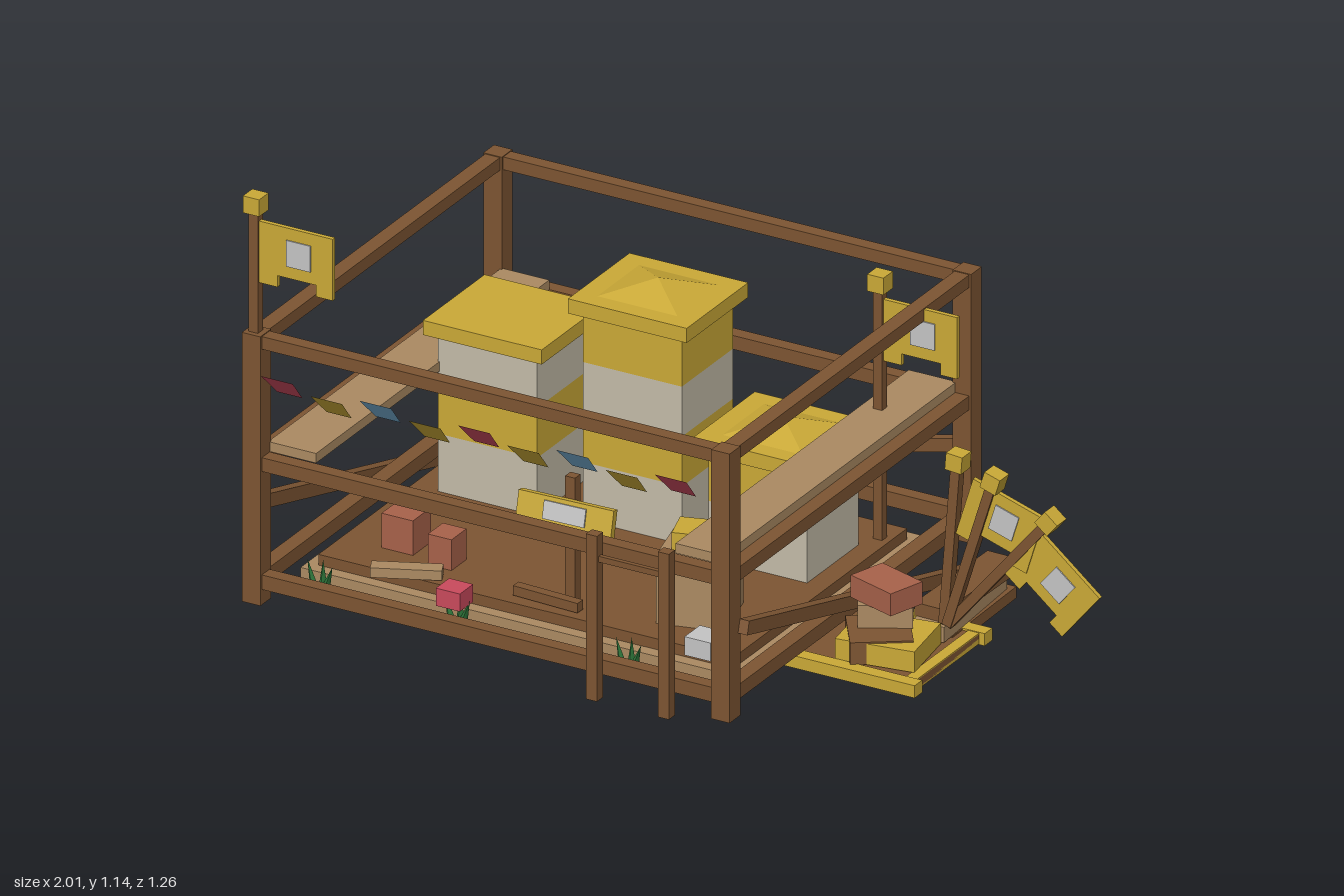
import * as THREE from 'three';

const mat = (name, color) => Object.assign(new THREE.MeshStandardMaterial({ color }), { name });

export function createModel() {
  const root = new THREE.Group();
  root.name = 'hiveStall';
  const M = {
    wood: mat('brown wood', 0x7d5532),
    plank: mat('light wood', 0xab8a62),
    yellow: mat('honey yellow', 0xcaa937),
    hive: mat('pale hive', 0xc3bba8),
    grey: mat('light grey', 0xc4c4c4),
    brick: mat('brick', 0xa8624a),
    red: mat('red', 0xc94a5c),
    blue: mat('blue', 0x74acd0),
    green: mat('green', 0x2f7a3c),
  };
  M.red.side = M.blue.side = M.yellow.side = THREE.DoubleSide;

  const add = (name, geo, m, parent = root) => {
    const mesh = new THREE.Mesh(geo, m);
    mesh.name = name;
    parent.add(mesh);
    return mesh;
  };
  // box given by its min and max on each axis
  const span = (name, m, x0, x1, y0, y1, z0, z1, parent) => {
    const b = add(name, new THREE.BoxGeometry(x1 - x0, y1 - y0, z1 - z0), m, parent);
    b.position.set((x0 + x1) / 2, (y0 + y1) / 2, (z0 + z1) / 2);
    return b;
  };
  // box given by centre, size and turn about y
  const box = (name, m, pos, size, turn = 0, parent) => {
    const b = add(name, new THREE.BoxGeometry(...size), m, parent);
    b.position.set(...pos);
    b.rotation.y = turn;
    return b;
  };
  const beam = (name, m, from, to, w, d) => {
    const a = new THREE.Vector3(...from), v = new THREE.Vector3(...to).sub(a);
    const b = add(name, new THREE.BoxGeometry(w, v.length(), d), m);
    b.position.copy(a).addScaledVector(v, 0.5);
    b.quaternion.setFromUnitVectors(new THREE.Vector3(0, 1, 0), v.normalize());
    return b;
  };

  // corner posts and rails
  const X0 = -0.955, X1 = 0.318, Z0 = -0.585, Z1 = 0.545;
  for (const x of [X0, X1]) for (const z of [Z0, Z1])
    span('cornerPost', M.wood, x - 0.025, x + 0.025, 0.095, 0.795, z - 0.025, z + 0.025);
  for (const [y0, y1] of [[0.135, 0.173], [0.442, 0.478], [0.76, 0.793]]) {
    for (const z of [Z0, Z1]) span('longRail', M.wood, X0, X1, y0, y1, z - 0.018, z + 0.018);
    for (const x of [X0, X1]) span('sideRail', M.wood, x - 0.02, x + 0.02, y0, y1, Z0, Z1);
  }

  // diagonal braces
  for (const x of [-0.988, 0.355])
    beam('sideBrace', M.wood, [x, 0.33, 0.526], [x, 0.024, -0.577], 0.026, 0.035);
  beam('backBrace', M.wood, [0.3, 0.32, -0.622], [-0.94, 0.022, -0.622], 0.035, 0.024);

  // floor, its rim, and side shelves
  span('floor', M.wood, -0.88, 0.245, 0.115, 0.165, -0.43, 0.385);
  for (const [z0, z1] of [[-0.465, -0.43], [0.385, 0.417]])
    span('floorRim', M.plank, -0.91, 0.275, 0.095, 0.137, z0, z1);
  for (const [x0, x1] of [[-0.91, -0.88], [0.245, 0.275]])
    span('floorRim', M.plank, x0, x1, 0.095, 0.137, -0.43, 0.385);
  span('shelf', M.plank, -0.935, -0.805, 0.478, 0.503, -0.567, 0.525);
  span('shelf', M.plank, 0.17, 0.3, 0.478, 0.503, -0.567, 0.525);

  // hive stacks
  const stack = (x, z, levels, peaked) => {
    const g = new THREE.Group();
    g.name = 'hiveStack';
    g.position.set(x, 0.165, z);
    root.add(g);
    let y = 0;
    for (let i = 0; i < levels; i++) {
      const h = i ? 0.13 : 0.15;
      box('hiveBox', i % 2 ? M.yellow : M.hive, [0, y + h / 2, 0], [0.268, h, 0.24], 0, g);
      y += h;
    }
    box('hiveLid', M.yellow, [0, y + 0.019, 0], [0.322, 0.038, 0.288], 0, g);
    if (peaked) {
      const cone = new THREE.ConeGeometry(0.156, 0.035, 4).rotateY(Math.PI / 4).toNonIndexed();
      cone.computeVertexNormals();
      const roof = add('hiveRoof', cone, M.yellow, g);
      roof.position.y = y + 0.055;
      roof.scale.z = 0.9;
    }
  };
  stack(-0.675, -0.173, 3, false);
  stack(-0.303, -0.21, 4, true);
  stack(0.057, -0.175, 2, true);

  // flags with poles: origin at the pole foot
  const cloth = new THREE.Shape([[0, 0], [0.2, 0], [0.2, -0.16], [0.155, -0.16], [0.155, -0.13],
    [0.05, -0.13], [0.05, -0.16], [0, -0.16]].map(p => new THREE.Vector2(...p)));
  const flagPole = (x, y, z, len, lean, offset, drop = 0.02) => {
    const g = new THREE.Group();
    g.name = 'flagPole';
    g.position.set(x, y, z);
    g.rotation.z = -lean;
    root.add(g);
    box('pole', M.wood, [0, len / 2, 0], [0.025, len, 0.024], 0, g);
    box('poleCap', M.yellow, [0, len + 0.022, 0], [0.044, 0.044, 0.044], 0, g);
    if (offset === null) return;
    const f = add('flagCloth', new THREE.ExtrudeGeometry(cloth, { depth: 0.012, bevelEnabled: false }), M.yellow, g);
    f.position.set(offset, len - drop, -0.006);
    for (const s of [-1, 1])
      box('flagPatch', M.grey, [offset + 0.108, len - drop - 0.065, s * 0.0075], [0.066, 0.068, 0.003], 0, g);
  };
  flagPole(-0.957, 0.78, 0.545, 0.325, 0, 0.012);
  flagPole(0.215, 0.165, -0.355, 0.645, 0, 0.012);
  flagPole(0.585, 0.17, -0.022, 0.41, 0.08, null);
  flagPole(0.595, 0.17, -0.019, 0.4, 0.3, -0.05, 0);
  flagPole(0.595, 0.17, -0.022, 0.41, 0.69, 0.012);

  // bunting flaps tilted out from the front rail
  const flap = (w0, w1) => {
    const s = new THREE.Shape();
    s.moveTo(-w0, 0).lineTo(w0, 0).lineTo(w1, 0.088).lineTo(-w1, 0.088);
    return new THREE.ShapeGeometry(s);
  };
  for (let i = 0; i < 9; i++) {
    const p = add('bunting', flap(0.034, 0.043), [M.red, M.yellow, M.blue, M.yellow][i % 4]);
    p.position.set(-0.85 + i * 0.1335, i % 2 ? 0.643 : 0.663, 0.57);
    p.rotation.x = 0.76;
  }

  // standing posts in front with a thin bar
  for (const x of [0, 0.195]) span('frontStake', M.wood, x - 0.015, x + 0.015, 0.095, 0.525, 0.597, 0.625);
  span('stakeBar', M.wood, 0, 0.195, 0.455, 0.47, 0.605, 0.617);

  // tilted sign on a short post
  span('signPost', M.wood, -0.247, -0.22, 0.165, 0.495, 0.297, 0.322);
  const sign = new THREE.Group();
  sign.name = 'sign';
  sign.position.set(-0.233, 0.397, 0.342);
  sign.rotation.set(-0.22, 0.06, 0);
  root.add(sign);
  box('signBoard', M.yellow, [0, 0, 0], [0.25, 0.09, 0.02], 0, sign);
  box('signPanel', M.grey, [0, 0.012, 0.012], [0.11, 0.045, 0.005], 0, sign);

  // crate, bricks and loose goods
  box('crate', M.plank, [0.055, 0.255, 0.213], [0.165, 0.18, 0.165], 0.24);
  box('crateFill', M.yellow, [0.055, 0.367, 0.213], [0.115, 0.045, 0.09], 0.3);
  box('brick', M.brick, [-0.727, 0.21, 0.237], [0.085, 0.09, 0.085]);
  box('brick', M.brick, [-0.597, 0.205, 0.27], [0.064, 0.08, 0.07]);
  box('redBlock', M.red, [-0.463, 0.193, 0.467], [0.065, 0.046, 0.062]);
  box('greyBlock', M.grey, [0.2, 0.214, 0.438], [0.07, 0.048, 0.072]);
  box('loosePlank', M.plank, [-0.64, 0.18, 0.385], [0.17, 0.025, 0.04], 0.42);
  box('loosePlank', M.wood, [-0.28, 0.18, 0.345], [0.18, 0.025, 0.025], -0.05);

  // grass tufts
  for (const [x, z] of [[-0.835, 0.455], [-0.465, 0.45], [0.005, 0.46]])
    for (const s of [-1, 0, 1]) {
      const blade = add('grassBlade', new THREE.ConeGeometry(0.015, 0.09, 4), M.green);
      blade.position.set(x + s * 0.022, 0.14, z + (s ? 0 : -0.015));
      blade.rotation.set(s * 0.15, 0, -s * 0.35);
    }

  // side pallet
  span('palletBase', M.wood, 0.285, 0.635, 0.1, 0.122, -0.095, 0.2);
  for (const z of [-0.112, 0.216]) span('palletRunner', M.yellow, 0.275, 0.65, 0.095, 0.127, z - 0.018, z + 0.018);
  for (const x of [0.29, 0.62]) span('palletEdge', M.yellow, x - 0.015, x + 0.015, 0.097, 0.125, -0.095, 0.2);

  // stacked boards, boxes and brick on the pallet
  box('board', M.wood, [0.545, 0.111, -0.2], [0.085, 0.03, 0.31], 0.02);
  box('board', M.plank, [0.54, 0.147, -0.165], [0.085, 0.04, 0.33], 0.06);
  box('board', M.wood, [0.546, 0.184, -0.19], [0.086, 0.034, 0.33], -0.02);
  box('lowBox', M.yellow, [0.5, 0.152, 0.1], [0.2, 0.054, 0.17], 0.15);
  box('lowBox', M.wood, [0.48, 0.154, 0.105], [0.15, 0.058, 0.15], 0.6);
  box('lightBox', M.plank, [0.465, 0.212, 0.05], [0.13, 0.058, 0.11], 0.5);
  box('brick', M.brick, [0.48, 0.27, 0.072], [0.14, 0.058, 0.1], -0.31);

  return root;
}
